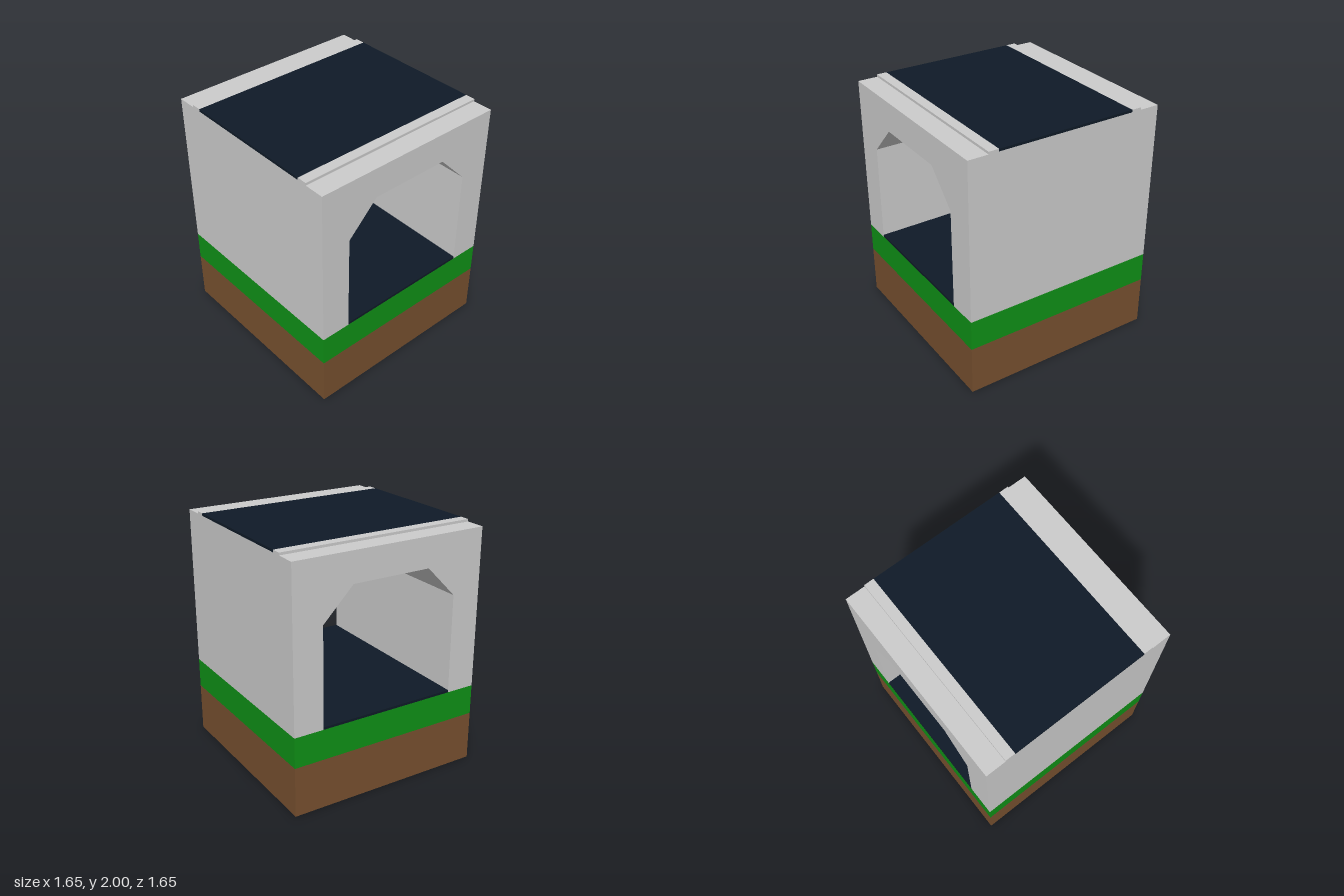
import * as THREE from 'three';

const SIZE = 1.65; // plan width and depth of the tile
const HALF = SIZE / 2;

const paint = (color) => new THREE.MeshStandardMaterial({ color, flatShading: true });
const concrete = paint(0xcccccc);
const asphalt = paint(0x0f1a27);
const grassGreen = paint(0x0f9016);
const soilBrown = paint(0x77502f);

// Box given by its width, depth, bottom and top
function slab(name, material, width, depth, bottom, top, z = 0) {
  const mesh = new THREE.Mesh(new THREE.BoxGeometry(width, top - bottom, depth), material);
  mesh.name = name;
  mesh.position.set(0, (bottom + top) / 2, z);
  return mesh;
}

export function createModel() {
  const model = new THREE.Group();
  model.name = 'roadUnderpass';

  // Ground layers
  model.add(slab('soil', soilBrown, SIZE, SIZE, 0, 0.41));
  model.add(slab('grass', grassGreen, SIZE, SIZE, 0.41, 0.66));

  // Walls and roof around a passage with chamfered upper corners
  const outline = new THREE.Shape([
    [-HALF, 0.66], [-0.58, 0.66], [-0.58, 1.48], [-0.33, 1.735],
    [0.33, 1.735], [0.58, 1.48], [0.58, 0.66], [HALF, 0.66],
    [HALF, 1.98], [-HALF, 1.98],
  ].map(([x, y]) => new THREE.Vector2(x, y)));
  const tunnelGeometry = new THREE.ExtrudeGeometry(outline, { depth: SIZE, bevelEnabled: false });
  tunnelGeometry.translate(0, 0, -HALF);
  const tunnel = new THREE.Mesh(tunnelGeometry, concrete);
  tunnel.name = 'tunnel';
  model.add(tunnel);

  // Road through the passage and road across the roof
  model.add(slab('lowerRoad', asphalt, 1.16, SIZE, 0.66, 0.68));
  model.add(slab('upperRoad', asphalt, SIZE, 1.155, 1.98, 2));

  // Kerbs along both sides of the upper road
  for (const side of [1, -1]) {
    model.add(slab(side > 0 ? 'frontKerb' : 'backKerb', concrete, SIZE, 0.0825, 1.98, 2, side * 0.61875));
  }

  return model;
}
